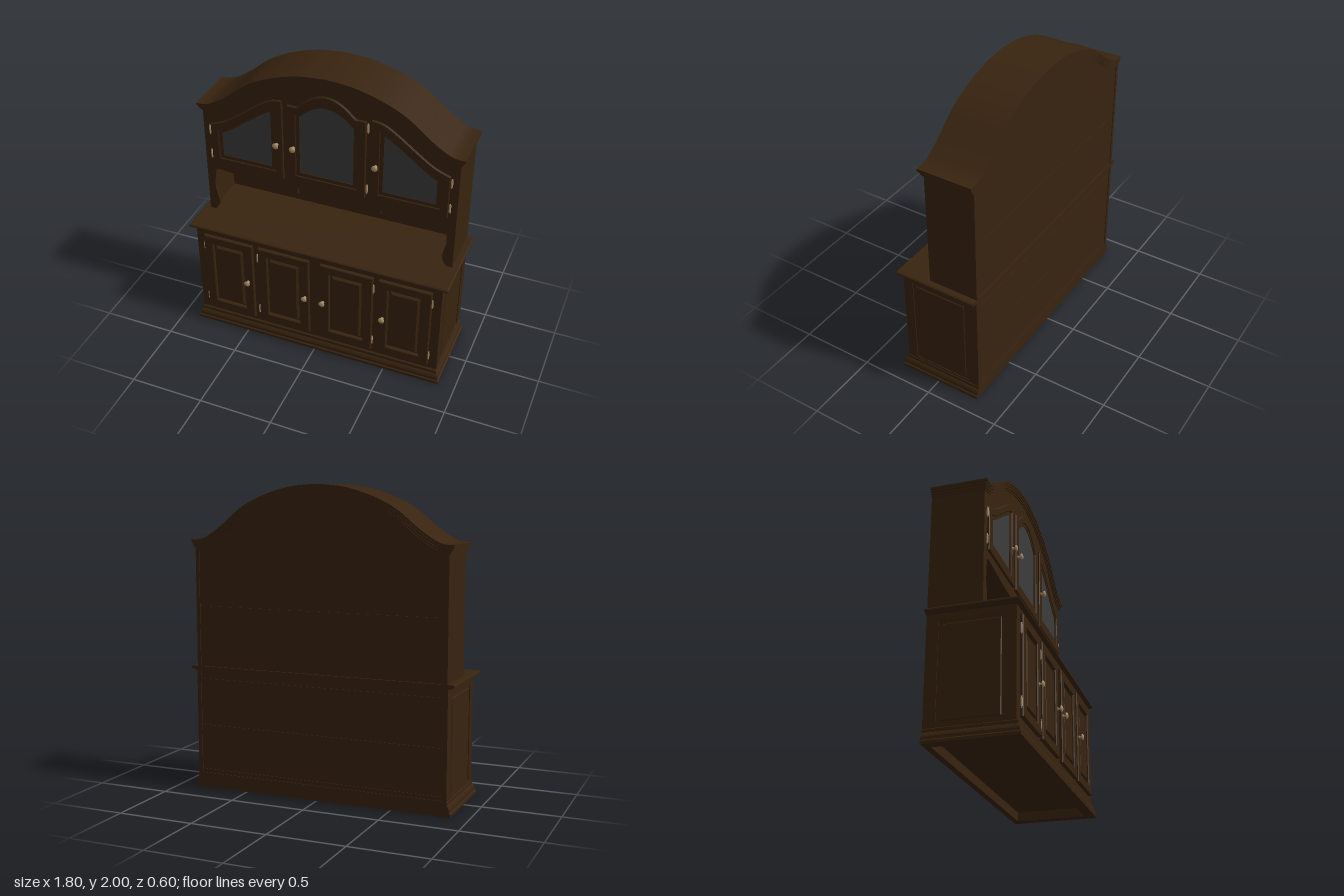
import * as THREE from 'three';
import { toCreasedNormals } from 'three/addons/utils/BufferGeometryUtils.js';

const wood = new THREE.MeshStandardMaterial({ color: 0x38230f });
wood.name = 'dark wood';
const glassMat = new THREE.MeshStandardMaterial({ color: 0x3c3c3c });
glassMat.name = 'grey glass';
const brass = new THREE.MeshStandardMaterial({ color: 0xa88e66 });
brass.name = 'brass';

const BACK = -0.295;

// Half of the arched crown line, centre to end
const half = new THREE.SplineCurve([[0, 2], [0.17, 1.985], [0.33, 1.943], [0.45, 1.893], [0.54, 1.84],
  [0.67, 1.735], [0.775, 1.667], [0.83, 1.648], [0.885, 1.645]].map(p => new THREE.Vector2(...p))).getPoints(32);

// Crown line from left to right, lowered by drop and fitted to half width w
function arch(drop, w) {
  const right = half.map(p => [p.x * w / 0.885, p.y - drop]);
  return [...right.slice(1).reverse().map(([x, y]) => [-x, y]), ...right];
}

const toShape = pts => new THREE.Shape(pts.map(p => new THREE.Vector2(...p)));

export function createModel() {
  const root = new THREE.Group();
  root.name = 'cabinet';

  function add(geo, name, mat = wood, parent = root) {
    const m = new THREE.Mesh(geo, mat);
    m.name = name;
    parent.add(m);
    return m;
  }
  function box(name, x0, x1, y0, y1, z0, z1) {
    const m = add(new THREE.BoxGeometry(x1 - x0, y1 - y0, z1 - z0), name);
    m.position.set((x0 + x1) / 2, (y0 + y1) / 2, (z0 + z1) / 2);
    return m;
  }
  // Flat outline extruded from z0 to z1, with an optional hole and chamfer
  function slab(name, pts, z0, z1, { hole, bevel = 0, mat = wood, parent = root } = {}) {
    const s = toShape(pts);
    if (hole) s.holes.push(new THREE.Path(hole.map(p => new THREE.Vector2(...p))));
    const g = new THREE.ExtrudeGeometry(s, {
      depth: z1 - z0 - bevel, bevelEnabled: bevel > 0, bevelThickness: bevel,
      bevelSize: bevel, bevelOffset: -bevel, bevelSegments: 1,
    });
    g.translate(0, 0, z0);
    return add(toCreasedNormals(g, 0.5), name, mat, parent);
  }
  // Profile of [out, y] points carried round the rectangle of the cabinet
  function moulding(name, profile, w, zf) {
    const pos = [];
    const ring = ([o, y]) => {
      const zb = BACK - Math.min(o, 0);
      return [[-w - o, y, zb], [-w - o, y, zf + o], [w + o, y, zf + o], [w + o, y, zb]];
    };
    for (let j = 0; j < profile.length - 1; j++) {
      const lo = ring(profile[j]), hi = ring(profile[j + 1]);
      for (let i = 0; i < 4; i++) {
        const k = (i + 1) % 4;
        pos.push(...lo[i], ...lo[k], ...hi[k], ...lo[i], ...hi[k], ...hi[i]);
      }
    }
    const g = new THREE.BufferGeometry();
    g.setAttribute('position', new THREE.Float32BufferAttribute(pos, 3));
    g.computeVertexNormals();
    return add(g, name);
  }

  // Lower cabinet, plinth (open below) and worktop
  box('lowerBody', -0.855, 0.855, 0.06, 0.79, -0.285, 0.248);
  moulding('plinth', [[-0.04, 0.062], [-0.04, 0], [0.03, 0], [0.03, 0.018], [0.022, 0.026], [0.022, 0.045],
    [0.016, 0.06], [0.008, 0.07], [0.008, 0.09], [0, 0.098], [-0.01, 0.098]], 0.855, 0.25);
  moulding('worktopEdge', [[-0.06, 0.788], [0.022, 0.788], [0.03, 0.795], [0.045, 0.799], [0.045, 0.809],
    [0.038, 0.816], [-0.06, 0.816]], 0.855, 0.23);
  box('worktop', -0.82, 0.82, 0.785, 0.816, -0.28, 0.2);

  // Outline of a door with a shaped top, drawn in by inset i
  function outline(l, r, b, top, i) {
    const pts = [[l + i, b + i], [r - i, b + i]];
    for (let k = 0; k <= 24; k++) {
      const x = r - i - (r - l - 2 * i) * k / 24;
      pts.push([x, top(x) - i]);
    }
    return pts;
  }
  const rect = (l, r, b, t, i = 0) => [[l + i, b + i], [r - i, b + i], [r - i, t - i], [l + i, t - i]];

  // Four lower doors with framed, raised panels
  for (const [l, r] of [[-0.8, -0.445], [-0.405, -0.04], [0.04, 0.405], [0.445, 0.8]]) {
    const g = new THREE.Group();
    g.name = 'lowerDoor';
    root.add(g);
    const o = { bevel: 0.006, parent: g };
    slab('doorFrame', rect(l, r, 0.13, 0.75), 0.245, 0.27, { ...o, hole: rect(l, r, 0.13, 0.75, 0.065) });
    slab('doorPanel', rect(l, r, 0.13, 0.75, 0.08), 0.245, 0.264, { bevel: 0.012, parent: g });
  }

  // Side panels of the lower cabinet
  for (const s of [-1, 1]) {
    const frame = slab('sideFrame', rect(-0.248, 0.295, 0.095, 0.79), 0, 0.006,
      { hole: rect(-0.18, 0.22, 0.11, 0.74) });
    const panel = slab('sidePanel', rect(-0.18, 0.22, 0.11, 0.74, 0.02), 0, 0.006, { bevel: 0.005 });
    for (const m of [frame, panel]) {
      m.rotation.y = s * Math.PI / 2;
      m.position.x = s * 0.854;
      if (s < 0) { m.scale.x = -1; }
    }
  }

  // Upper sides, ceiling of the open niche and its back
  for (const s of [-1, 1]) {
    box('upperSide', s > 0 ? 0.832 : -0.856, s > 0 ? 0.856 : -0.832, 0.81, 1.61, BACK, 0.04);
    box('lowerBackStile', s > 0 ? 0.832 : -0.856, s > 0 ? 0.856 : -0.832, 0.06, 0.79, BACK, -0.28);
  }
  box('nicheCeiling', -0.835, 0.835, 1.175, 1.195, -0.28, 0.03);
  box('nicheBack', -0.835, 0.835, 0.81, 1.2, -0.28, -0.265);
  for (const [l, r] of [[-0.79, -0.33], [-0.27, 0.27], [0.33, 0.79]])
    slab('nichePanel', rect(l, r, 0.86, 1.1), -0.267, -0.255, { bevel: 0.01 });

  // Front face with scalloped niche opening below
  const scallop = new THREE.SplineCurve([[0.815, 0.816], [0.785, 0.87], [0.79, 0.93], [0.805, 1.0], [0.8, 1.08],
    [0.785, 1.145], [0.7, 1.145], [0.55, 1.13], [0.4, 1.118], [0.32, 1.125], [0.24, 1.145], [0.12, 1.145],
    [0, 1.17]].map(p => new THREE.Vector2(...p))).getPoints(48).map(p => [p.x, p.y]);
  slab('frontFace', [[0.856, 0.816], ...arch(0.03, 0.856).reverse(), [-0.856, 0.816],
    ...scallop.map(([x, y]) => [-x, y]), ...scallop.slice(0, -1).reverse()].reverse(), 0.02, 0.045);

  // Glazed upper doors
  const sideTop = new THREE.SplineCurve([[0.295, 1.78], [0.37, 1.768], [0.45, 1.722], [0.6, 1.61], [0.7, 1.542],
    [0.8, 1.502]].map(p => new THREE.Vector2(...p))).getPoints(40);
  const sideY = x => {
    const a = Math.abs(x);
    const k = Math.max(1, sideTop.findIndex(p => p.x >= a - 1e-6));
    const p = sideTop[k - 1], q = sideTop[k];
    return p.y + (q.y - p.y) * (a - p.x) / (q.x - p.x);
  };
  const midY = x => Math.max(1.76, 1.87 - 0.1 * (x / 0.18) ** 2);
  for (const [name, l, r, top] of [['rightGlassDoor', -0.8, -0.295, sideY], ['middleGlassDoor', -0.26, 0.26, midY],
    ['leftGlassDoor', 0.295, 0.8, sideY]]) {
    const g = new THREE.Group();
    g.name = name;
    root.add(g);
    const at = i => outline(l, r, 1.2, top, i);
    slab('doorFrame', at(0), 0.044, 0.06, { hole: at(0.055), bevel: 0.004, parent: g });
    slab('glassBead', at(0.05), 0.044, 0.054, { hole: at(0.08), parent: g });
    slab('glass', at(0.078), 0.044, 0.049, { mat: glassMat, parent: g });
  }

  // Stepped crown moulding, running the full depth as the roof
  for (const [d0, d1, w, z] of [[0, 0.016, 0.885, 0.07], [0.014, 0.03, 0.878, 0.064],
    [0.028, 0.044, 0.87, 0.058], [0.042, 0.056, 0.862, 0.051]])
    slab('crown', [...arch(d1, w), ...arch(d0, w).reverse()], BACK, z);

  // Back boards with narrow seams
  const seams = [0.02, 0.13, 0.43, 0.74, 0.82, 1.22];
  box('backing', -0.835, 0.835, 0.06, 1.56, -0.284, -0.278);
  for (let i = 0; i < seams.length - 1; i++)
    box('backBoard', -0.833, 0.833, seams[i], seams[i + 1] - 0.006, -0.29, -0.282);
  slab('topBackBoard', [[-0.833, 1.22], [0.833, 1.22], ...arch(0.04, 0.833).reverse()], -0.29, -0.28);
  box('worktopBackEdge', -0.856, 0.856, 0.79, 0.815, BACK, -0.28);

  // Turned knobs
  const knobGeo = new THREE.LatheGeometry([[0.012, 0], [0.012, 0.004], [0.006, 0.007], [0.006, 0.018], [0.02, 0.023],
    [0.021, 0.028], [0.014, 0.034], [0, 0.037]].map(p => new THREE.Vector2(...p)), 16).rotateX(Math.PI / 2);
  const knobs = [[-0.484, 0.44, 0.267], [-0.066, 0.44, 0.267], [0.061, 0.44, 0.267], [0.479, 0.44, 0.267],
    [-0.335, 1.46, 0.058], [-0.22, 1.46, 0.058], [0.328, 1.46, 0.058]];
  for (const p of knobs) add(knobGeo, 'knob', brass).position.set(...p);

  // Hinges: a pin with pointed tips
  const hingeGeo = new THREE.LatheGeometry([[0, -0.037], [0.005, -0.033], [0.003, -0.027], [0.007, -0.025],
    [0.007, 0.025], [0.003, 0.027], [0.005, 0.033], [0, 0.037]].map(p => new THREE.Vector2(...p)), 10);
  const hinges = [];
  for (const x of [-0.802, -0.412, 0.408, 0.802]) hinges.push([x, 0.66, 0.258], [x, 0.215, 0.258]);
  for (const x of [-0.81, 0.81]) hinges.push([x, 1.455, 0.05], [x, 1.27, 0.05]);
  hinges.push([0.27, 1.715, 0.05], [0.27, 1.27, 0.05]);
  for (const p of hinges) add(hingeGeo, 'hinge', brass).position.set(...p);

  return root;
}
